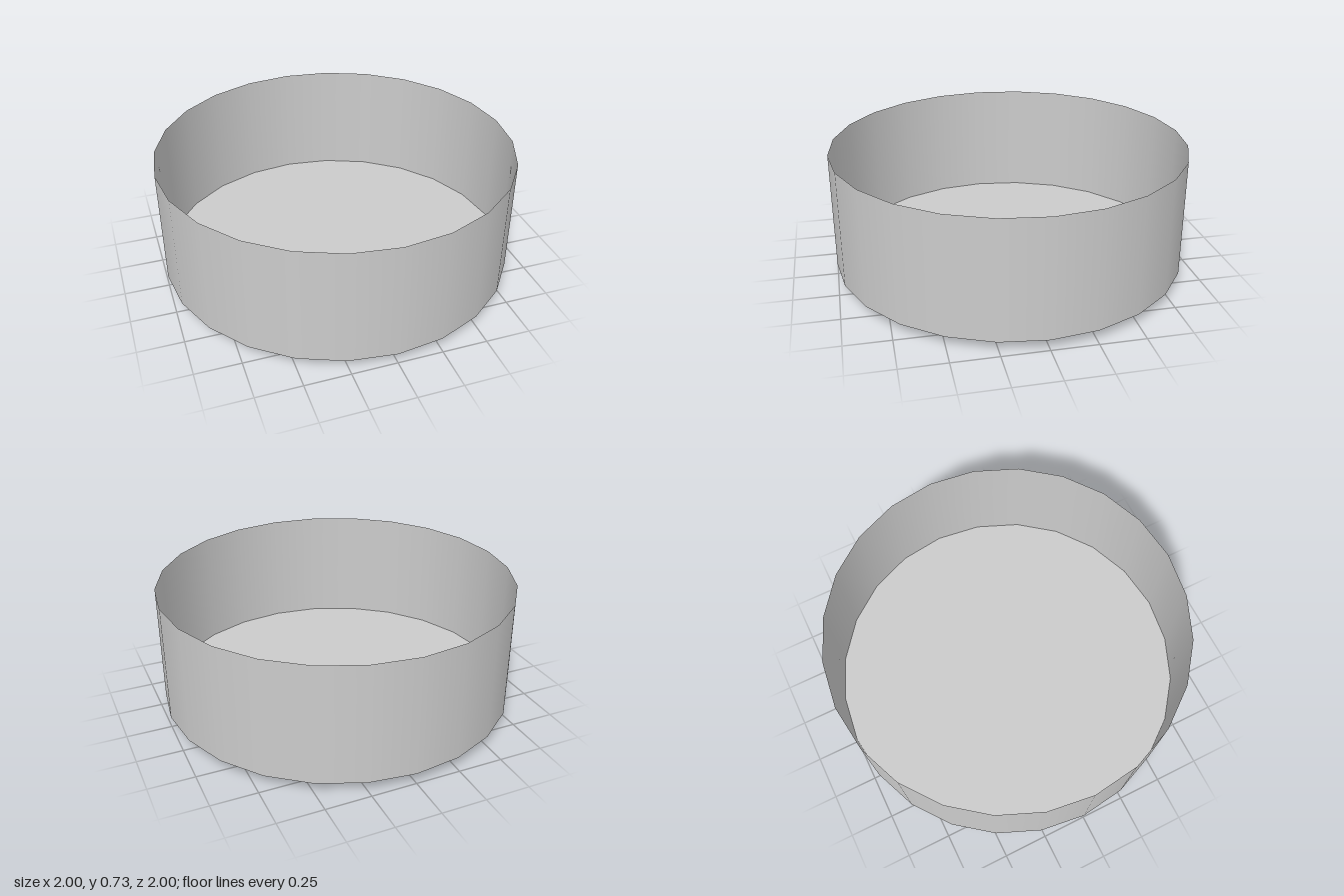
import * as THREE from 'three';

export function createModel() {
  const group = new THREE.Group();
  const thin = new THREE.MeshStandardMaterial({ color: 0xcccccc, side: THREE.DoubleSide });
  const solid = new THREE.MeshStandardMaterial({ color: 0xcccccc });
  const SIDES = 24, BASE = 0.06, TOP = 0.725;

  const add = (name, geometry, material, x, y, z) => {
    const mesh = new THREE.Mesh(geometry, material);
    mesh.name = name;
    mesh.position.set(x, y, z);
    group.add(mesh);
  };

  // thin open wall
  add('wall', new THREE.CylinderGeometry(1, 1, TOP - BASE, SIDES, 1, true), thin, 0, (TOP + BASE) / 2, 0);

  // flat floor disc
  add('floor', new THREE.CircleGeometry(1, SIDES).rotateX(-Math.PI / 2), thin, 0, BASE, 0);

  // three short feet: one at the back, two towards the front
  const footGeometry = new THREE.CylinderGeometry(0.048, 0.048, BASE, 16);
  const feet = { backFoot: [0, -0.825], leftFoot: [0.675, 0.475], rightFoot: [-0.675, 0.475] };
  for (const [name, [x, z]] of Object.entries(feet)) add(name, footGeometry, solid, x, BASE / 2, z);

  return group;
}
